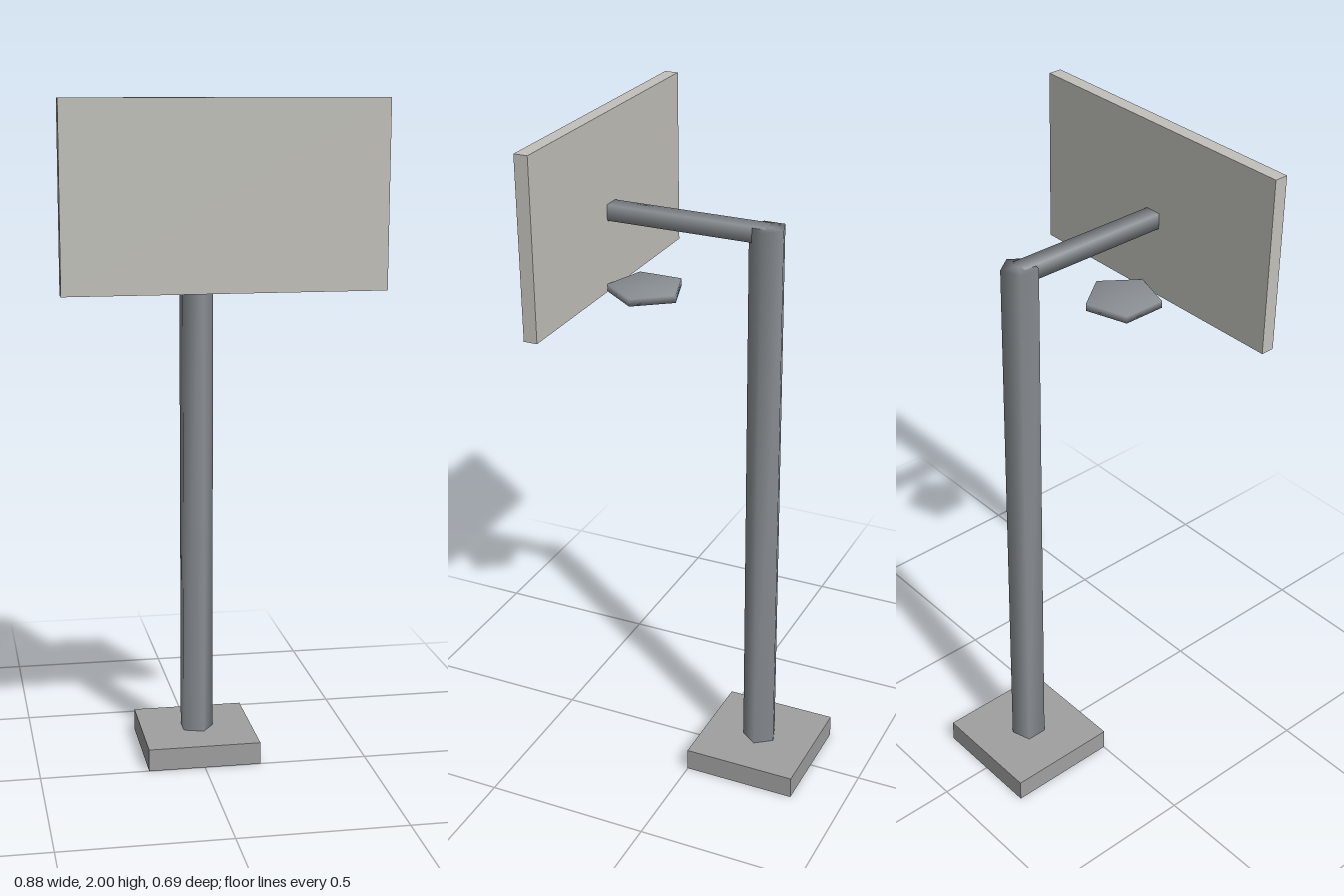
import * as THREE from 'three';
import { mergeVertices } from 'three/addons/utils/BufferGeometryUtils.js';

// Share corners so normals blend across edges
function softened(geometry) {
  geometry.deleteAttribute('normal');
  geometry.deleteAttribute('uv');
  const merged = mergeVertices(geometry, 1e-4);
  merged.computeVertexNormals();
  return merged;
}

export function createModel() {
  const group = new THREE.Group();
  const concrete = new THREE.MeshStandardMaterial({ color: 0xa0a0a0 });
  const metal = new THREE.MeshStandardMaterial({ color: 0x8a8f94 });
  const panel = new THREE.MeshStandardMaterial({ color: 0xc2c1ba });

  const add = (name, geometry, material, x, y, z) => {
    const mesh = new THREE.Mesh(geometry, material);
    mesh.name = name;
    mesh.position.set(x, y, z);
    group.add(mesh);
  };

  // Five-sided prism with one corner towards +x
  const pentagon = (radius, height) =>
    softened(new THREE.CylinderGeometry(radius, radius, height, 5, 1, false, Math.PI / 2));

  const poleZ = -0.171;

  // Square footing and upright pole
  add('base', new THREE.BoxGeometry(0.343, 0.068, 0.343), concrete, 0, 0.034, poleZ);
  add('pole', pentagon(0.053, 1.705), metal, 0, 0.8855, poleZ);

  // Arm reaching forward from the pole to the board
  add('arm', softened(new THREE.BoxGeometry(0.05, 0.046, 0.475)), metal, 0, 1.719, 0.0665);

  // Flat board and the five-sided hoop plate behind its lower edge
  add('board', new THREE.BoxGeometry(0.884, 0.512, 0.04), panel, 0, 1.744, 0.323);
  add('hoop', pentagon(0.112, 0.022), metal, 0, 1.5, 0.197);

  return group;
}
